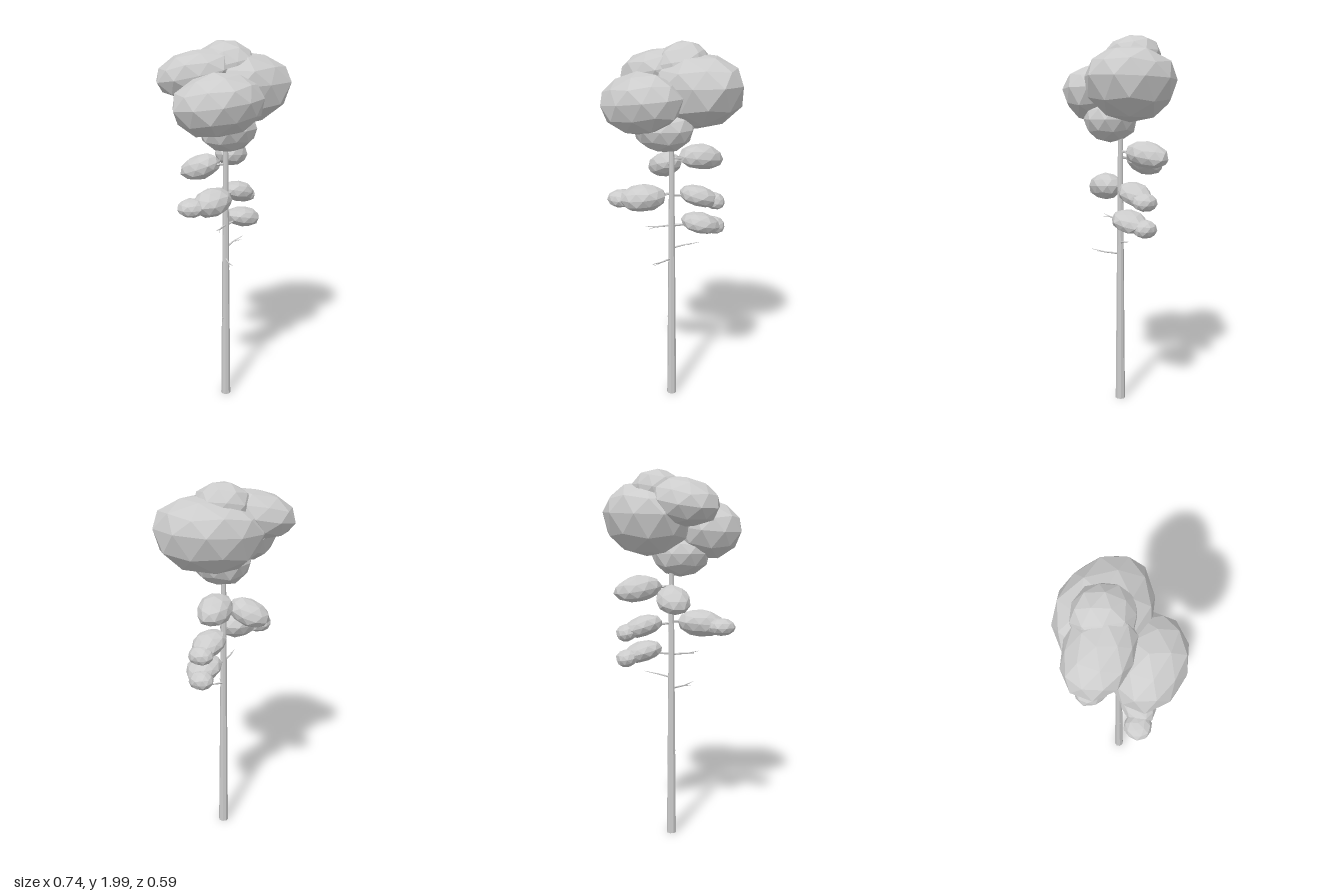
import * as THREE from 'three';

const bark = new THREE.MeshStandardMaterial({ color: 0xcccccc, flatShading: true });
const leaf = new THREE.MeshStandardMaterial({ color: 0xcccccc, flatShading: true });

// Faceted foliage clump: pole-up icosphere with separate heights above and below its equator
function clump(name, [x, y, z], [rx, up, down, rz], [tx, ty, tz] = [0, 0, 0]) {
  const geo = new THREE.IcosahedronGeometry(1, 1);
  geo.rotateZ(-Math.atan(2 / (1 + Math.sqrt(5))));
  const p = geo.attributes.position;
  for (let i = 0; i < p.count; i++) {
    const a = p.getX(i), b = p.getY(i), c = p.getZ(i);
    const k = 1 + 0.04 * Math.sin(5 * a + 17 * x + 3 * c) * Math.cos(4 * c + 11 * z + 2 * b);
    p.setXYZ(i, a * rx * k, b * (b > 0 ? up : down) * k, c * rz * k);
  }
  geo.computeVertexNormals();
  const mesh = new THREE.Mesh(geo, leaf);
  mesh.name = name;
  mesh.position.set(x, y, z);
  mesh.rotation.set(tx, ty, tz);
  return mesh;
}

// Tapered straight limb between two points
function limb(name, from, to, r0, r1, sides = 5) {
  const a = new THREE.Vector3(...from), b = new THREE.Vector3(...to);
  const dir = b.clone().sub(a);
  const geo = new THREE.CylinderGeometry(r1, r0, dir.length(), sides);
  const mesh = new THREE.Mesh(geo, bark);
  mesh.name = name;
  mesh.position.copy(a).add(b).multiplyScalar(0.5);
  mesh.quaternion.setFromUnitVectors(new THREE.Vector3(0, 1, 0), dir.normalize());
  return mesh;
}

// Bare twig with a kink and a short fork
function twig(from, mid, tip, fork) {
  const g = new THREE.Group();
  g.name = 'deadTwig';
  g.add(
    limb('twigBase', from, mid, 0.006, 0.004),
    limb('twigTip', mid, tip, 0.004, 0.001),
    limb('twigFork', mid, fork, 0.003, 0.001)
  );
  return g;
}

export function createModel() {
  const tree = new THREE.Group();
  tree.name = 'tree';

  // Trunk
  const trunk = limb('trunk', [0.002, 0, 0], [0.002, 1.6, 0], 0.0265, 0.012, 8);
  tree.add(trunk, limb('trunkStub', [-0.01, 0.475, 0], [-0.021, 0.48, 0.004], 0.006, 0.004));

  // Crown
  const crown = new THREE.Group();
  crown.name = 'crown';
  crown.add(
    clump('crownRight', [0.12, 1.77, -0.04], [0.285, 0.165, 0.23, 0.228], [0, -0.68, 0.04]),
    clump('crownFront', [-0.145, 1.7, 0.107], [0.24, 0.15, 0.17, 0.178], [0, -0.55, 0.12]),
    clump('crownBack', [-0.1, 1.83, -0.11], [0.215, 0.12, 0.13, 0.165], [0, -0.6, 0.2]),
    clump('crownTop', [0.05, 1.867, -0.055], [0.15, 0.125, 0.12, 0.16], [0.2, 0.1, 0.25]),
    clump('crownBase', [-0.03, 1.56, 0.05], [0.16, 0.1, 0.125, 0.145])
  );
  tree.add(crown);

  // Lower boughs: a limb carrying one or two clumps
  const boughs = [
    { from: 1.39, clumps: [[[0.145, 1.375, -0.12], [0.132, 0.075, 0.065, 0.09], [0, 0.7, -0.15]]] },
    { from: 1.36, clumps: [[[-0.055, 1.325, -0.14], [0.115, 0.07, 0.065, 0.09], [0, -1.0, 0.35]]] },
    { from: 1.2, clumps: [
      [[-0.145, 1.19, 0.065], [0.125, 0.07, 0.078, 0.09], [0, 0.2, 0.08]],
      [[-0.265, 1.172, 0.04], [0.077, 0.05, 0.047, 0.073]],
    ] },
    { from: 1.19, clumps: [
      [[0.142, 1.175, -0.06], [0.11, 0.057, 0.057, 0.085], [0, 0.35, -0.3]],
      [[0.222, 1.138, -0.1], [0.058, 0.05, 0.045, 0.07], [0, 0.4, -0.2]],
    ] },
    { from: 1.02, clumps: [
      [[0.155, 1.032, -0.03], [0.11, 0.057, 0.057, 0.092], [0, 0.4, -0.25]],
      [[0.222, 1.0, -0.1], [0.06, 0.05, 0.047, 0.068], [0, 0.4, -0.15]],
    ] },
  ];
  for (const { from, clumps } of boughs) {
    const bough = new THREE.Group();
    bough.name = 'bough';
    bough.add(limb('boughLimb', [0, from, 0], clumps[0][0], 0.008, 0.004));
    for (const c of clumps) bough.add(clump('leafClump', ...c));
    tree.add(bough);
  }

  // Dead twigs
  tree.add(
    twig([0, 1.02, 0], [-0.08, 1.022, 0.045], [-0.13, 1.032, 0.075], [-0.11, 1.018, 0.08]),
    twig([0, 0.89, 0], [0.07, 0.907, -0.015], [0.15, 0.922, -0.025], [0.12, 0.912, 0.0]),
    twig([0, 0.83, 0], [-0.045, 0.832, 0.08], [-0.08, 0.845, 0.15], [-0.075, 0.826, 0.12])
  );
  return tree;
}
